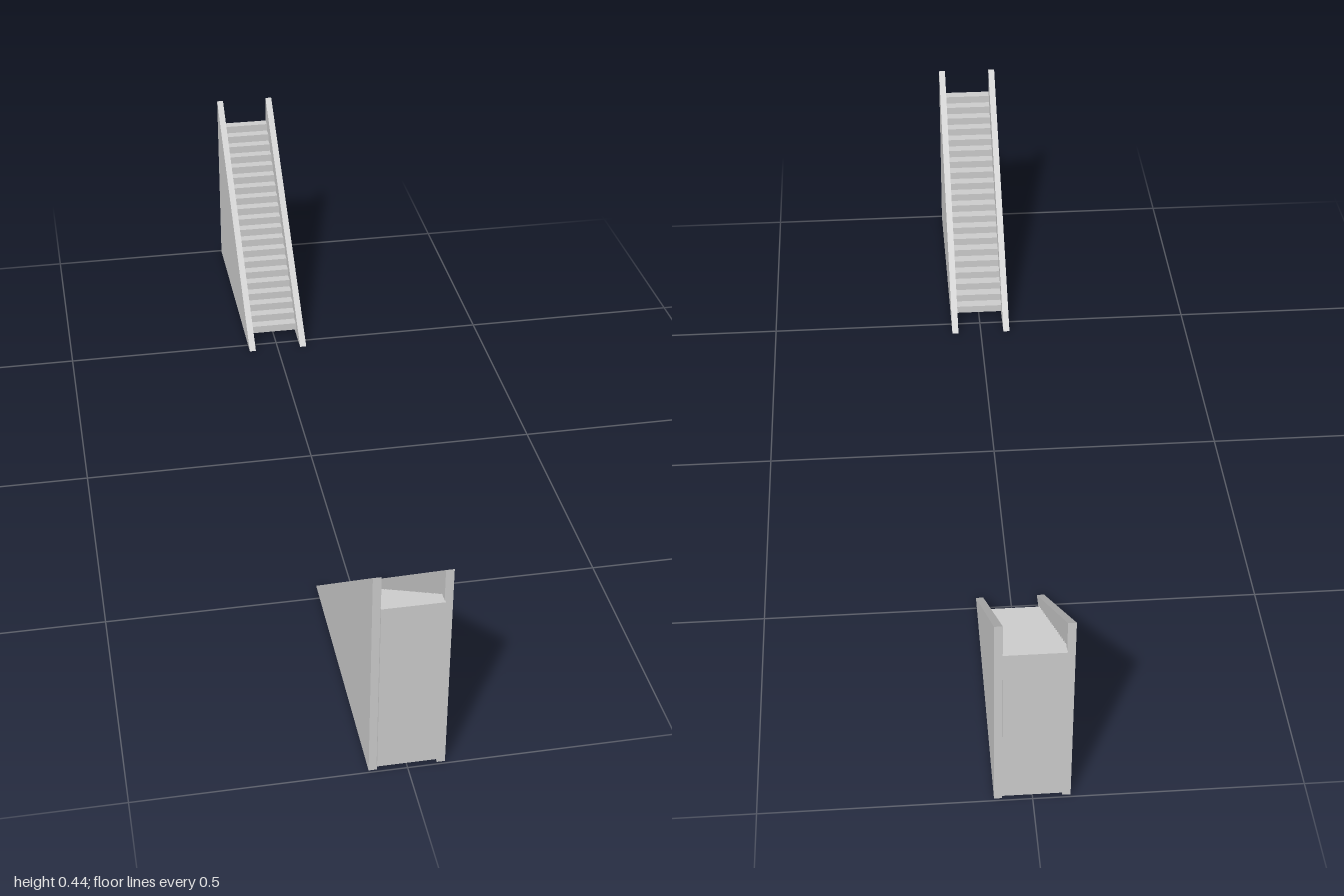
import * as THREE from 'three';

const material = new THREE.MeshStandardMaterial({ color: 0xcccccc, flatShading: true });

const STEPS = 20;
const BASE = 0.012; // underside of the steps
const TOP = 0.37; // height of the highest tread
const WALL_TOP = 0.435;
const WALL_END = 0.995;
const WALL_THICKNESS = 0.015;

// Triangular side wall, rising from z = toe to its tall outer end
function sideWall(name, x, toe) {
  const profile = new THREE.Shape([
    new THREE.Vector2(toe, 0),
    new THREE.Vector2(WALL_END, 0),
    new THREE.Vector2(WALL_END, WALL_TOP),
  ]);
  const geometry = new THREE.ExtrudeGeometry(profile, { depth: WALL_THICKNESS, bevelEnabled: false });
  geometry.translate(0, 0, -WALL_THICKNESS / 2);
  geometry.rotateY(-Math.PI / 2);
  const wall = new THREE.Mesh(geometry, material);
  wall.name = name;
  wall.position.x = x;
  return wall;
}

// One flight climbing towards +z
function staircase(name, toe, firstStep) {
  const group = new THREE.Group();
  group.name = name;
  group.add(sideWall('leftWall', 0.0622, toe), sideWall('rightWall', -0.0628, toe));

  // Steps: full-height blocks, each one rise taller than the last
  const steps = new THREE.Group();
  steps.name = 'steps';
  const run = (1 - firstStep) / STEPS;
  const rise = (TOP - BASE) / STEPS;
  for (let i = 0; i < STEPS; i++) {
    const height = rise * (i + 1);
    const step = new THREE.Mesh(new THREE.BoxGeometry(0.112, height, run), material);
    step.name = `step${i + 1}`;
    step.position.set(0, BASE + height / 2, firstStep + run * (i + 0.5));
    steps.add(step);
  }
  group.add(steps);
  return group;
}

export function createModel() {
  const model = new THREE.Group();
  model.name = 'staircasePair';

  const front = staircase('frontStaircase', 0.46, 0.53);
  const back = staircase('backStaircase', 0.47, 0.535);
  back.rotation.y = Math.PI; // faces the front flight

  model.add(front, back);
  return model;
}
